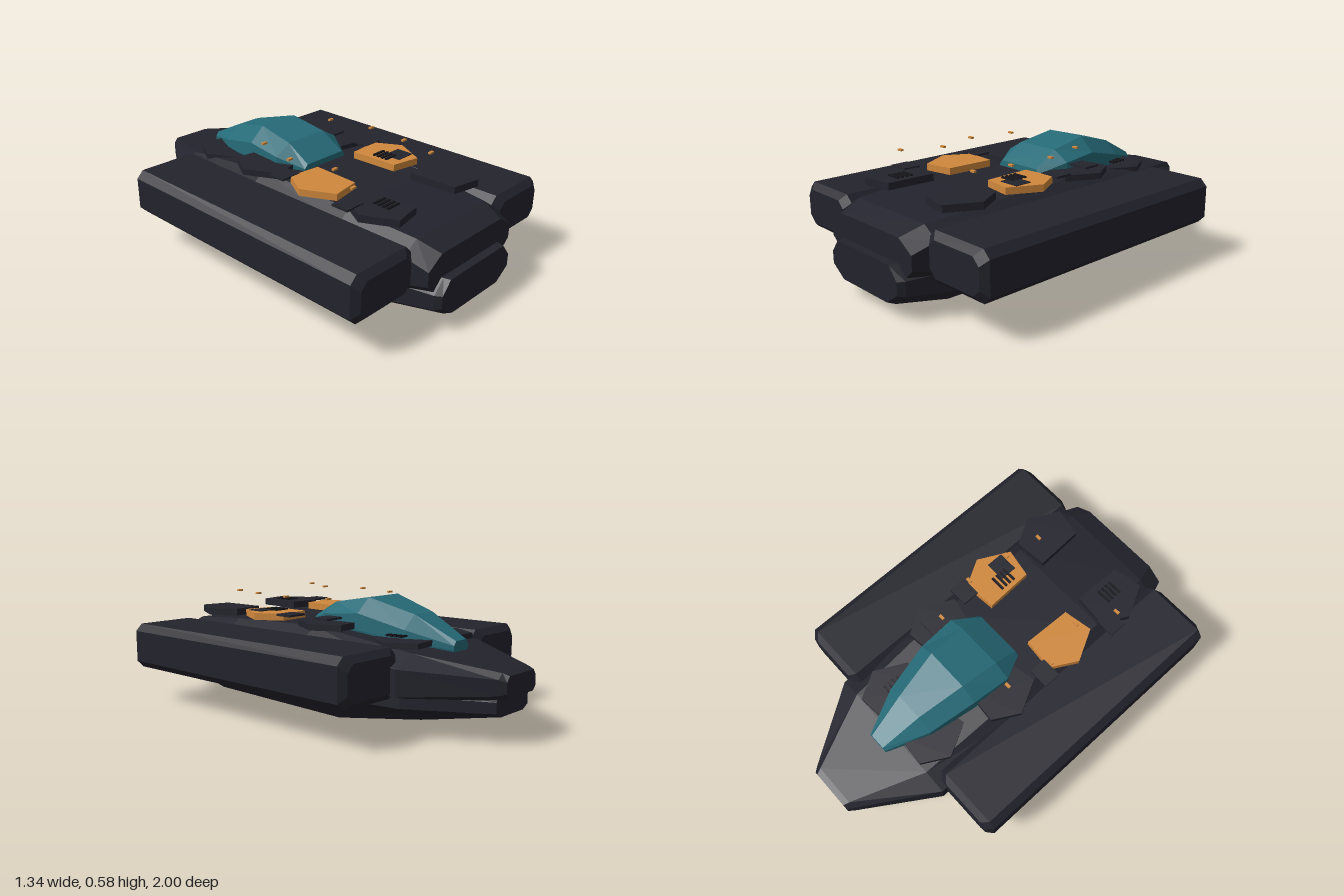
import * as THREE from 'three';

const paint = (name, color) => {
  const m = new THREE.MeshStandardMaterial({ color });
  m.name = name;
  return m;
};

// Faceted loft through eight-sided sections:
// [z, bottom half width, widest half width, top half width, bottom y, lower edge y, upper edge y, top y]
function loft(sections) {
  const rings = sections.map(([z, b, w, t, y0, yl, yh, y1]) => [
    [b, y0, z], [w, yl, z], [w, yh, z], [t, y1, z],
    [-t, y1, z], [-w, yh, z], [-w, yl, z], [-b, y0, z],
  ]);
  const pos = [];
  const tri = (p, q, r) => pos.push(...p, ...q, ...r);
  for (let i = 0; i + 1 < rings.length; i++) {
    const a = rings[i], b = rings[i + 1];
    for (let j = 0; j < 8; j++) {
      const k = (j + 1) % 8;
      tri(a[j], a[k], b[k]);
      tri(a[j], b[k], b[j]);
    }
  }
  const first = rings[0], last = rings[rings.length - 1];
  for (let j = 1; j < 7; j++) {
    tri(first[0], first[j + 1], first[j]);
    tri(last[0], last[j], last[j + 1]);
  }
  const g = new THREE.BufferGeometry();
  g.setAttribute('position', new THREE.Float32BufferAttribute(pos, 3));
  g.computeVertexNormals();
  return g;
}

// Flat plate from an outline of [x, z] points
function plate(outline, y, height) {
  const shape = new THREE.Shape(outline.map(([x, z]) => new THREE.Vector2(x, -z)));
  const g = new THREE.ExtrudeGeometry(shape, { depth: height, bevelEnabled: false });
  g.rotateX(-Math.PI / 2);
  g.translate(0, y, 0);
  return g;
}

export function createModel() {
  const model = new THREE.Group();
  model.name = 'spacecraft';
  const hull = paint('dark hull', 0x23232d);
  const glass = paint('teal canopy', 0x266b78);
  const orange = paint('orange panel', 0xd0883c);
  const black = paint('black vent', 0x15151b);

  const add = (name, geometry, material, x = 0, y = 0, z = 0) => {
    const m = new THREE.Mesh(geometry, material);
    m.name = name;
    m.position.set(x, y, z);
    model.add(m);
  };

  // Belly hull
  add('lowerHull', loft([
    [-0.96, 0.09, 0.13, 0.12, 0.12, 0.14, 0.19, 0.22],
    [-0.60, 0.17, 0.33, 0.30, 0.06, 0.14, 0.20, 0.24],
    [-0.15, 0.22, 0.42, 0.36, 0.00, 0.15, 0.19, 0.26],
    [0.30, 0.22, 0.40, 0.35, 0.01, 0.14, 0.19, 0.26],
    [0.72, 0.22, 0.34, 0.30, 0.02, 0.10, 0.20, 0.26],
    [0.97, 0.19, 0.27, 0.21, 0.065, 0.12, 0.19, 0.25],
    [1.00, 0.17, 0.25, 0.20, 0.075, 0.13, 0.19, 0.25],
  ]), hull);

  // Main hull
  add('upperHull', loft([
    [-1.00, 0.10, 0.12, 0.10, 0.21, 0.23, 0.28, 0.305],
    [-0.97, 0.11, 0.14, 0.11, 0.195, 0.22, 0.29, 0.315],
    [-0.61, 0.27, 0.37, 0.26, 0.17, 0.20, 0.32, 0.375],
    [-0.05, 0.28, 0.36, 0.28, 0.15, 0.20, 0.39, 0.445],
    [0.50, 0.28, 0.35, 0.28, 0.15, 0.20, 0.38, 0.43],
    [0.85, 0.27, 0.33, 0.25, 0.16, 0.22, 0.35, 0.405],
    [0.96, 0.24, 0.305, 0.22, 0.18, 0.24, 0.31, 0.365],
  ]), hull);

  // Chamfered side pods
  const podSection = (z, inset) => [
    z, 0.15 - inset, 0.185 - inset, 0.15 - inset,
    0.178 + inset, 0.213 + inset, 0.37 - inset, 0.405 - inset,
  ];
  const pod = loft([
    podSection(-0.58, 0.03), podSection(-0.55, 0), podSection(0.86, 0), podSection(0.89, 0.03),
  ]);
  add('leftPod', pod, hull, 0.485);
  add('rightPod', pod, hull, -0.485);

  // Canopy
  add('canopy', loft([
    [-0.69, 0.05, 0.055, 0.04, 0.35, 0.37, 0.39, 0.41],
    [-0.48, 0.14, 0.145, 0.07, 0.37, 0.40, 0.45, 0.515],
    [-0.24, 0.18, 0.19, 0.11, 0.40, 0.43, 0.51, 0.58],
    [-0.04, 0.19, 0.205, 0.12, 0.41, 0.44, 0.495, 0.545],
    [0.09, 0.13, 0.14, 0.12, 0.42, 0.43, 0.45, 0.47],
  ]), glass);

  // Five-sided armour plates: [z, x shift, y, height, material]
  for (const [z, shift, y, height, material] of [
    [0.635, 0, 0.445, 0.035, hull],
    [0.285, 0, 0.45, 0.034, orange],
    [-0.095, 0, 0.435, 0.03, hull],
    [-0.475, -0.08, 0.385, 0.026, hull],
  ]) {
    for (const side of [1, -1]) {
      const outline = [[0.13, -0.12], [0.295, -0.135], [0.368, -0.005], [0.287, 0.152], [0.14, 0.125]];
      add(side > 0 ? 'leftArmourPlate' : 'rightArmourPlate',
        plate(outline.map(([x, dz]) => [side * (x + shift), z + dz]), y, height), material);
    }
  }

  // Square hatches
  const hatch = new THREE.BoxGeometry(0.105, 0.01, 0.09);
  for (const [x, z] of [[0.255, -0.108], [-0.3, 0.115], [0.28, 0.115], [0.255, 0.345], [-0.328, 0.535]]) {
    add('hatch', hatch, hull, x, 0.482, z);
  }

  // Vent slats in rows of four
  const slat = new THREE.BoxGeometry(0.078, 0.009, 0.012);
  for (const [x, y, z] of [[0.198, 0.487, 0.305], [-0.207, 0.482, 0.648], [0.15, 0.425, -0.45]]) {
    for (let i = 0; i < 4; i++) add('ventSlat', slat, black, x, y, z + (i - 1.5) * 0.025);
  }

  // Small hovering marker lights
  const light = new THREE.BoxGeometry(0.028, 0.009, 0.014);
  for (const [x, z] of [
    [-0.245, -0.08], [0.22, -0.08], [-0.297, 0.148], [0.278, 0.148],
    [-0.237, 0.373], [0.256, 0.373], [-0.325, 0.562], [0.22, 0.562],
  ]) add('markerLight', light, orange, x, 0.568, z);

  return model;
}
